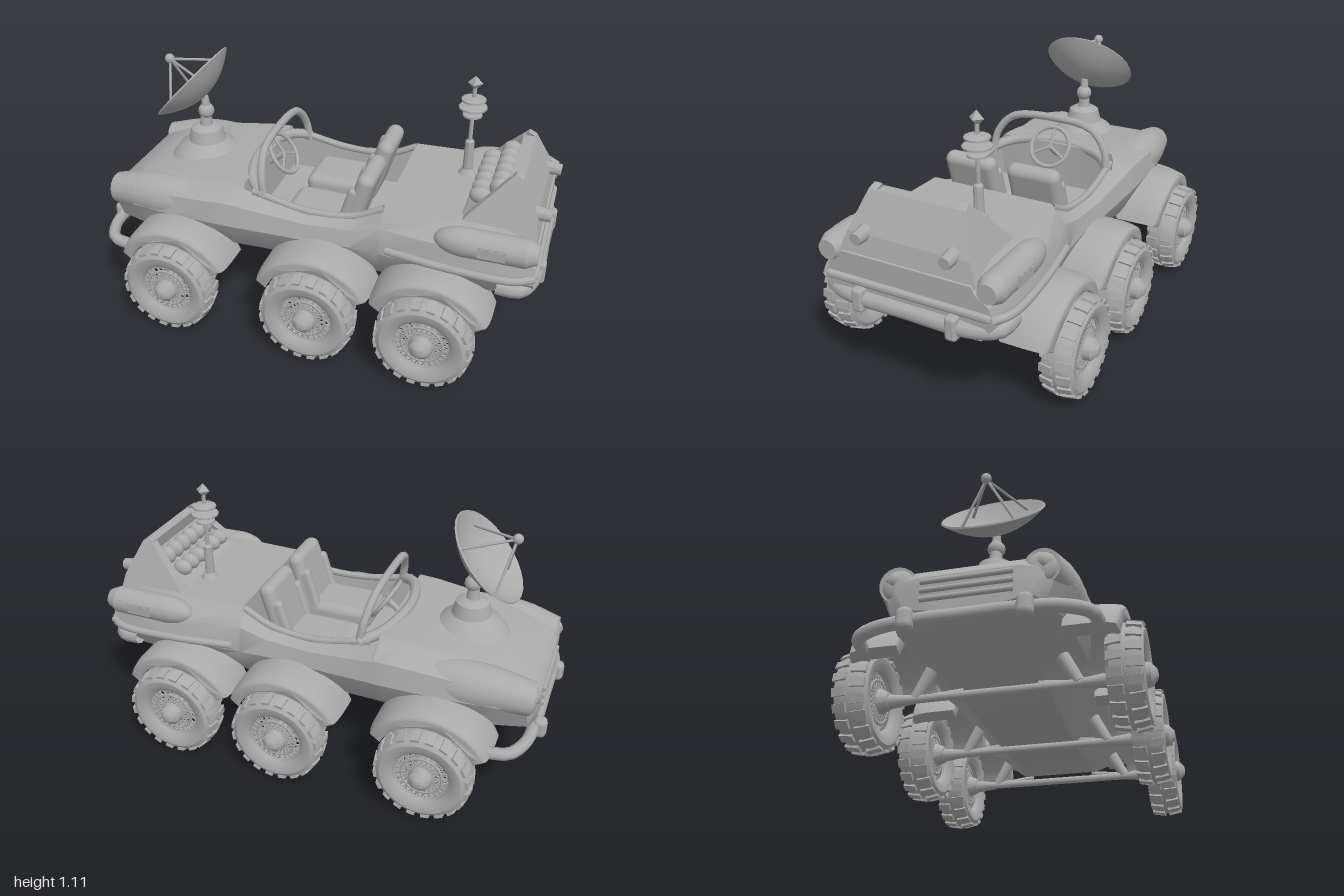
import * as THREE from 'three';
import { toCreasedNormals } from 'three/addons/utils/BufferGeometryUtils.js';
import { RoundedBoxGeometry } from 'three/addons/geometries/RoundedBoxGeometry.js';

const grey = new THREE.MeshStandardMaterial({ color: 0xaaaaaa, side: THREE.DoubleSide });
grey.name = 'plain grey';
const V = (x, y, z) => new THREE.Vector3(x, y, z);

function add(parent, name, geometry, x = 0, y = 0, z = 0) {
  const mesh = new THREE.Mesh(geometry, grey);
  mesh.name = name;
  mesh.position.set(x, y, z);
  parent.add(mesh);
  return mesh;
}
function rod(parent, name, a, b, r0, r1 = r0, sides = 8) {
  const d = b.clone().sub(a);
  const mesh = add(parent, name, new THREE.CylinderGeometry(r1, r0, d.length(), sides));
  mesh.position.copy(a).addScaledVector(d, 0.5);
  mesh.quaternion.setFromUnitVectors(V(0, 1, 0), d.normalize());
  return mesh;
}
function tube(parent, name, points, r) {
  const curve = new THREE.CatmullRomCurve3(points.map(p => V(...p)));
  return add(parent, name, new THREE.TubeGeometry(curve, 32, r, 8));
}
function ellipsoid(parent, name, [x, y, z], [a, b, c]) {
  const mesh = add(parent, name, new THREE.SphereGeometry(1, 20, 14), x, y, z);
  mesh.scale.set(a, b, c);
  return mesh;
}
const lathe = (pts, n = 32) =>
  toCreasedNormals(new THREE.LatheGeometry(pts.map(p => new THREE.Vector2(...p)), n).toNonIndexed(), 0.6);

// Hull sections: x, centre height, rim half-width, rim height, widest half-width, its height, sill height, keel height
function hullGeometry() {
  const stations = [
    [-0.95, 0.50, 0.17, 0.50, 0.27, 0.46, 0.38, 0.36],
    [-0.92, 0.54, 0.19, 0.54, 0.32, 0.47, 0.36, 0.33],
    [-0.80, 0.585, 0.22, 0.58, 0.36, 0.48, 0.36, 0.30],
    [-0.60, 0.63, 0.25, 0.61, 0.38, 0.48, 0.36, 0.27],
    [-0.38, 0.65, 0.27, 0.63, 0.385, 0.48, 0.36, 0.25],
    [-0.29, 0.65, 0.28, 0.63, 0.385, 0.48, 0.36, 0.24],
    [-0.28, 0.44, 0.28, 0.62, 0.383, 0.48, 0.36, 0.24],
    [0.00, 0.44, 0.28, 0.575, 0.365, 0.47, 0.36, 0.23],
    [0.20, 0.44, 0.27, 0.585, 0.355, 0.47, 0.36, 0.23],
    [0.32, 0.44, 0.27, 0.64, 0.36, 0.47, 0.36, 0.23],
    [0.33, 0.66, 0.28, 0.64, 0.36, 0.47, 0.36, 0.23],
    [0.58, 0.655, 0.30, 0.64, 0.395, 0.48, 0.37, 0.24],
    [0.82, 0.65, 0.30, 0.63, 0.40, 0.48, 0.39, 0.34],
    [0.96, 0.61, 0.28, 0.58, 0.37, 0.47, 0.40, 0.39],
  ];
  const rings = stations.map(([x, yc, zi, yr, zm, ym, yk, yb]) => {
    const half = [[zi, yc], [zi + 0.015, yr], [zm * 0.95, ym + 0.65 * (yr - ym)], [zm, ym], [zm * 0.86, yk], [zm * 0.45, yb]];
    return [V(x, yc, 0), ...half.map(([z, y]) => V(x, y, z)), ...half.reverse().map(([z, y]) => V(x, y, -z))];
  });
  const pts = [], n = rings[0].length;
  for (let i = 0; i < rings.length - 1; i++) for (let j = 0; j < n; j++) {
    const k = (j + 1) % n, [a, b, c, d] = [rings[i][j], rings[i][k], rings[i + 1][j], rings[i + 1][k]];
    pts.push(a, b, c, b, d, c);
  }
  const first = rings[0], last = rings[rings.length - 1];
  for (let j = 1; j < n - 1; j++) pts.push(first[0], first[j + 1], first[j], last[0], last[j], last[j + 1]);
  return toCreasedNormals(new THREE.BufferGeometry().setFromPoints(pts), 0.6);
}

// Side profile extruded across z, spreading outwards towards its base
function leaningPrism(profile, z0, z1) {
  const shape = new THREE.Shape(profile.map(p => new THREE.Vector2(...p)));
  const g = new THREE.ExtrudeGeometry(shape, { depth: z1 - z0, bevelEnabled: false });
  g.translate(0, 0, z0);
  const p = g.attributes.position;
  for (let i = 0; i < p.count; i++) p.setZ(i, p.getZ(i) * (1 + (0.85 - p.getY(i)) * 1.8));
  g.computeVertexNormals();
  return g;
}

// Wheel with outer face towards +z, centred on its tyre
function makeWheel() {
  const wheel = new THREE.Group();
  const tyre = add(wheel, 'tyre', lathe([[0.118, -0.05], [0.14, -0.066], [0.17, -0.068], [0.19, -0.055], [0.196, -0.035],
    [0.196, 0.035], [0.19, 0.055], [0.17, 0.068], [0.14, 0.066], [0.118, 0.05], [0.114, 0], [0.118, -0.05]], 40));
  tyre.rotation.x = Math.PI / 2;
  const block = new THREE.BoxGeometry(0.034, 0.012, 0.056);
  for (let i = 0; i < 40; i++) {
    const a = i * Math.PI / 20, side = i % 2 ? 1 : -1;
    const tread = add(wheel, 'tread', block, Math.cos(a) * 0.196, Math.sin(a) * 0.196, side * 0.036);
    tread.rotation.z = a - Math.PI / 2;
    tread.rotateX(side * 0.18);
  }
  // Woven wire faces on both sides
  for (const f of [-1, 1]) {
    for (let i = 0; i < 24; i++) for (const s of [-1, 1]) {
      const a = i * Math.PI / 12, b = a + s * 0.75;
      rod(wheel, 'wireSpoke', V(Math.cos(a) * 0.045, Math.sin(a) * 0.045, f * 0.045),
        V(Math.cos(b) * 0.12, Math.sin(b) * 0.12, f * 0.03), 0.0035, 0.0035, 5);
    }
    for (const r of [0.085, 0.118]) add(wheel, 'rimRing', new THREE.TorusGeometry(r, 0.006, 6, 32), 0, 0, f * 0.037);
  }
  const hub = add(wheel, 'hub', lathe([[0, -0.09], [0.035, -0.085], [0.05, -0.05], [0.05, 0.05], [0.045, 0.075], [0.02, 0.097], [0, 0.1]], 12));
  hub.rotation.x = Math.PI / 2;
  return wheel;
}

function fenderGeometry() {
  const s = new THREE.Shape(), a0 = 0.42, a1 = Math.PI - a0;
  s.absarc(0, 0, 0.262, a0, a1, false);
  s.absarc(0, 0, 0.228, a1, a0, true);
  const g = new THREE.ExtrudeGeometry(s, { depth: 0.19, steps: 6, bevelSize: 0.01, bevelThickness: 0.012, bevelSegments: 2, curveSegments: 20 });
  const p = g.attributes.position;
  // Crown the outer edge slightly over the tyre and taper the ends inwards
  for (let i = 0; i < p.count; i++) {
    const x = p.getX(i), z = p.getZ(i), t = Math.max(0, (z - 0.08) / 0.12);
    const k = 1 - 0.055 * t ** 3;
    p.setXYZ(i, x * k, p.getY(i) * k, z * (1 - 0.1 * (x / 0.25) ** 4));
  }
  return toCreasedNormals(g, 0.7);
}

export function createModel() {
  const model = new THREE.Group();
  model.name = 'rover';
  add(model, 'hull', hullGeometry());

  // Wheels, fenders and running gear
  const fender = fenderGeometry();
  for (const x of [-0.567, 0.074, 0.572]) {
    rod(model, 'axle', V(x, 0.205, -0.46), V(x, 0.205, 0.46), 0.017);
    for (const s of [-1, 1]) {
      const wheel = makeWheel();
      wheel.name = 'wheel';
      wheel.position.set(x, 0.21, s * 0.51);
      if (s < 0) wheel.rotation.y = Math.PI;
      model.add(wheel);
      const f = add(model, 'fender', fender, x, 0.212, s * 0.315);
      if (s < 0) f.rotation.y = Math.PI;
      rod(model, 'strut', V(x, 0.21, s * 0.32), V(x, 0.35, s * 0.24), 0.022, 0.03);
      rod(model, 'axleSleeve', V(x, 0.205, s * 0.33), V(x, 0.205, s * 0.45), 0.018, 0.032, 12);
      rod(model, 'controlArm', V(x + 0.02, 0.205, s * 0.41), V(x + 0.07, 0.25, s * 0.15), 0.014);
    }
  }

  // Nose
  for (const s of [-1, 1]) {
    ellipsoid(model, 'noseFender', [-0.66, 0.51, s * 0.275], [0.3, 0.1, 0.1]);
    rod(model, 'headlightHousing', V(-0.8, 0.51, s * 0.275), V(-0.93, 0.495, s * 0.265), 0.088, 0.07, 20);
    ellipsoid(model, 'headlight', [-0.925, 0.495, s * 0.265], [0.025, 0.062, 0.062]);
    add(model, 'overrider', new RoundedBoxGeometry(0.06, 0.09, 0.06, 2, 0.024), -0.965, 0.33, s * 0.215);
  }
  for (let i = 0; i < 3; i++) rod(model, 'grilleBar', V(-0.953, 0.41 + i * 0.035, -0.17), V(-0.953, 0.41 + i * 0.035, 0.17), 0.011);
  tube(model, 'frontBumper', [[-0.8, 0.32, -0.44], [-0.88, 0.325, -0.425], [-0.93, 0.33, -0.34], [-0.945, 0.335, -0.2], [-0.945, 0.335, 0],
    [-0.945, 0.335, 0.2], [-0.93, 0.33, 0.34], [-0.88, 0.325, 0.425], [-0.8, 0.32, 0.44]], 0.026);

  // Dish antenna on the hood
  add(model, 'dishPedestal', lathe([[0.17, 0.59], [0.13, 0.645], [0.085, 0.675], [0.07, 0.73], [0.045, 0.745], [0, 0.75]]), -0.6);
  rod(model, 'dishNeck', V(-0.6, 0.74, 0), V(-0.6, 0.81, 0), 0.03, 0.022, 12);
  ellipsoid(model, 'dishJoint', [-0.595, 0.815, 0], [0.036, 0.036, 0.036]);
  const dish = new THREE.Group();
  dish.name = 'dish';
  dish.position.set(-0.588, 0.892, 0);
  dish.rotation.z = 0.83;
  const bowl = [];
  for (let i = 0; i <= 8; i++) bowl.push([0.215 * i / 8, 0.085 * (i / 8) ** 2]);
  for (let i = 8; i >= 0; i--) bowl.push([0.211 * i / 8, 0.085 * (i / 8) ** 2 + 0.006]);
  add(dish, 'bowl', lathe(bowl, 28));
  for (let i = 0; i < 4; i++) {
    const a = i * Math.PI / 2 + Math.PI / 4;
    rod(dish, 'feedStrut', V(Math.cos(a) * 0.17, 0.055, Math.sin(a) * 0.17), V(0, 0.225, 0), 0.006, 0.006, 6);
  }
  ellipsoid(dish, 'feed', [0, 0.228, 0], [0.022, 0.022, 0.022]);
  model.add(dish);
  rod(model, 'dishMount', V(-0.595, 0.82, 0), V(-0.597, 0.885, 0), 0.024, 0.016);

  // Cockpit: hoop, steering wheel and two seats
  tube(model, 'windshieldHoop', [[-0.2, 0.59, -0.29], [-0.215, 0.69, -0.275], [-0.23, 0.775, -0.2], [-0.235, 0.8, 0],
    [-0.23, 0.775, 0.2], [-0.215, 0.69, 0.275], [-0.2, 0.59, 0.29]], 0.018);
  tube(model, 'cowlEdge', [[-0.2, 0.61, -0.3], [-0.28, 0.635, -0.22], [-0.33, 0.65, 0], [-0.28, 0.635, 0.22], [-0.2, 0.61, 0.3]], 0.024);
  for (const s of [-1, 1]) tube(model, 'cockpitRim', [[-0.25, 0.62, s * 0.29], [0, 0.573, s * 0.295], [0.2, 0.585, s * 0.285], [0.33, 0.645, s * 0.28]], 0.016);
  rod(model, 'steeringColumn', V(-0.32, 0.58, 0), V(-0.22, 0.66, 0), 0.014);
  const steering = new THREE.Group();
  steering.name = 'steeringWheel';
  steering.position.set(-0.22, 0.66, 0);
  steering.rotation.set(0, Math.PI / 2, 0);
  steering.rotateX(-0.6);
  add(steering, 'steeringRim', new THREE.TorusGeometry(0.095, 0.01, 8, 28));
  for (let i = 0; i < 3; i++) {
    const a = Math.PI / 2 + i * Math.PI * 2 / 3;
    rod(steering, 'steeringSpoke', V(0, 0, 0), V(Math.cos(a) * 0.095, Math.sin(a) * 0.095, 0), 0.007);
  }
  model.add(steering);
  for (const s of [-1, 1]) {
    add(model, 'seatCushion', new RoundedBoxGeometry(0.32, 0.1, 0.24, 3, 0.04), 0.03, 0.49, s * 0.15);
    add(model, 'seatBack', new RoundedBoxGeometry(0.075, 0.31, 0.24, 3, 0.036), 0.2, 0.61, s * 0.15).rotation.z = -0.3;
    for (const b of [-1, 1]) add(model, 'seatBolster', new RoundedBoxGeometry(0.06, 0.22, 0.045, 2, 0.02), 0.165, 0.585, s * 0.15 + b * 0.095).rotation.z = -0.3;
  }

  // Tail housing with side fins and a bed of round canisters
  add(model, 'tailPanel', leaningPrism([[0.81, 0.84], [0.86, 0.84], [0.935, 0.69], [0.955, 0.6], [0.86, 0.6]], -0.19, 0.19));
  add(model, 'engineBed', leaningPrism([[0.6, 0.62], [0.65, 0.665], [0.83, 0.785], [0.9, 0.6]], -0.17, 0.17));
  const fin = [[0.62, 0.62], [0.66, 0.67], [0.83, 0.858], [0.86, 0.84], [0.935, 0.69], [0.955, 0.6]];
  for (const [a, b] of [[-0.205, -0.17], [0.17, 0.205]]) add(model, 'tailFin', leaningPrism(fin, a, b));
  for (let i = 0; i < 6; i++) {
    const z = -0.165 + i * 0.066;
    ellipsoid(model, 'canister', [0.77, 0.765, z], [0.042, 0.042, 0.032]);
    ellipsoid(model, 'canister', [0.695, 0.715, z], [0.045, 0.036, 0.03]);
  }
  for (const s of [-1, 1]) {
    rod(model, 'jet', V(0.87, 0.7, s * 0.19), V(0.985, 0.69, s * 0.19), 0.035, 0.026, 8);
    // Side pods with vents
    ellipsoid(model, 'podNose', [0.68, 0.6, s * 0.345], [0.13, 0.062, 0.06]);
    rod(model, 'pod', V(0.68, 0.6, s * 0.345), V(0.92, 0.6, s * 0.345), 0.061, 0.06, 20);
    rod(model, 'podTail', V(0.92, 0.6, s * 0.345), V(0.965, 0.6, s * 0.345), 0.06, 0.04, 20);
    add(model, 'podVent', new THREE.BoxGeometry(0.11, 0.05, 0.008), 0.79, 0.605, s * 0.406);
    for (let i = 0; i < 3; i++) add(model, 'ventSlat', new THREE.BoxGeometry(0.02, 0.04, 0.008), 0.755 + i * 0.035, 0.605, s * 0.411);
    // Rear bumper blocks and side trim
    add(model, 'bumperBlock', new RoundedBoxGeometry(0.06, 0.1, 0.05, 2, 0.015), 0.965, 0.43, s * 0.205);
    tube(model, 'sideTrim', [[0.36, 0.495, s * 0.36], [0.6, 0.495, s * 0.395], [0.88, 0.495, s * 0.4], [0.96, 0.495, s * 0.36]], 0.017);
  }
  add(model, 'rearShelf', new RoundedBoxGeometry(0.05, 0.035, 0.72, 2, 0.015), 0.95, 0.5, 0);
  tube(model, 'rearBumper', [[0.82, 0.44, -0.375], [0.91, 0.435, -0.365], [0.95, 0.43, -0.27], [0.955, 0.43, 0],
    [0.95, 0.43, 0.27], [0.91, 0.435, 0.365], [0.82, 0.44, 0.375]], 0.034);

  // Mast antenna
  add(model, 'mast', lathe([[0.045, 0.65], [0.022, 0.68], [0.02, 0.81], [0.009, 0.82], [0.009, 1.06]], 10), 0.595, 0, -0.1);
  for (const [y, r] of [[0.935, 0.042], [0.97, 0.06], [1.005, 0.052]])
    add(model, 'mastDisc', lathe([[0, -0.016], [r, -0.004], [r, 0.004], [0, 0.016]], 12), 0.595, y, -0.1);
  add(model, 'mastTip', new THREE.OctahedronGeometry(0.032), 0.595, 1.08, -0.1);
  return model;
}
